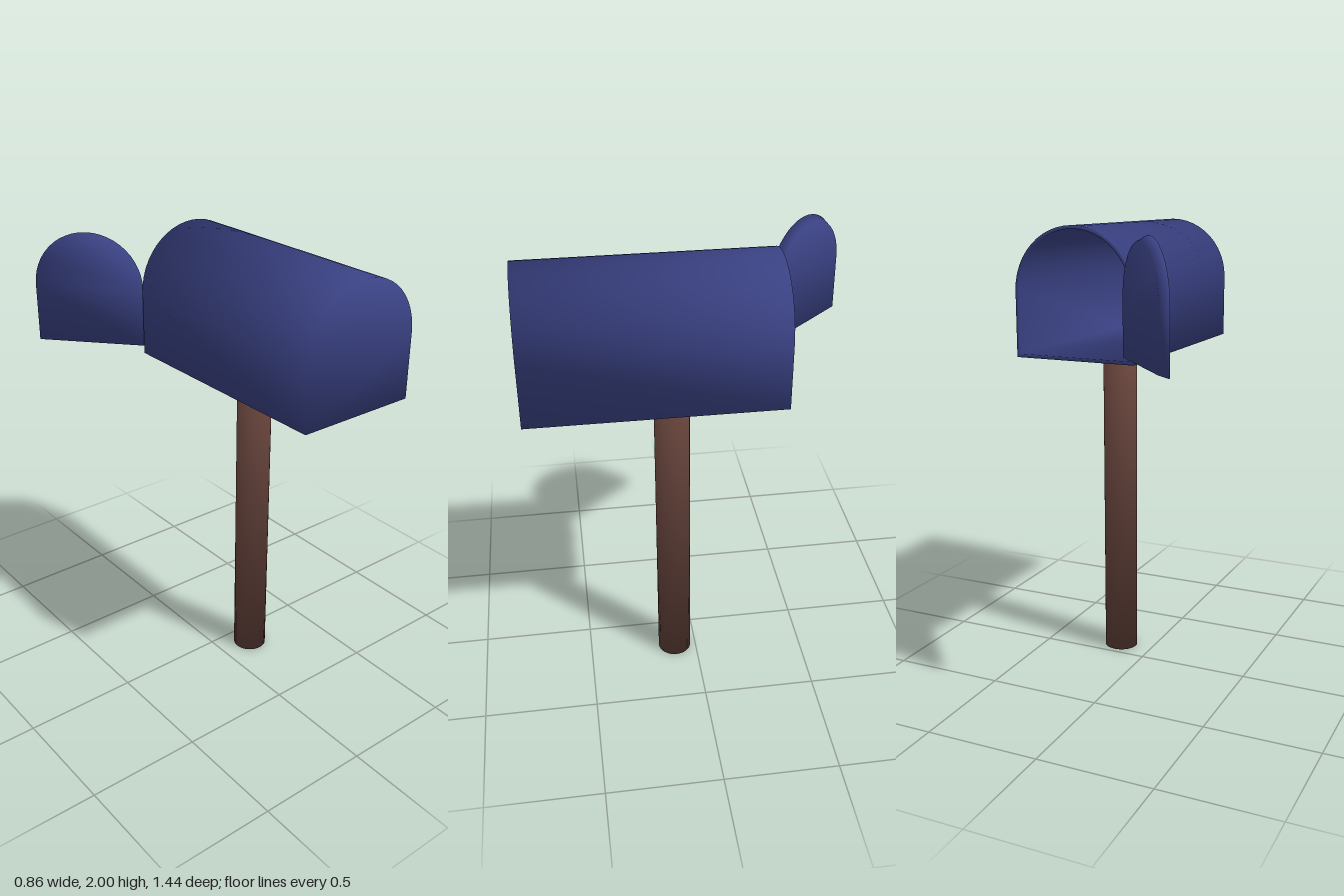
import * as THREE from 'three';

// Arched outline, counter-clockwise: half circle of radius r on straight sides reaching down to -h
function arch(r, h, segments = 24) {
  const pts = [];
  for (let i = 0; i <= segments; i++) {
    const a = (i / segments) * Math.PI;
    pts.push(new THREE.Vector2(Math.cos(a) * r, Math.sin(a) * r));
  }
  pts.push(new THREE.Vector2(-r, -h), new THREE.Vector2(r, -h));
  return pts;
}

function circle(r, n = 32) {
  return Array.from({ length: n }, (_, i) => {
    const a = (i / n) * Math.PI * 2;
    return new THREE.Vector2(Math.cos(a) * r, Math.sin(a) * r);
  });
}

// Joins outlines {pts, z} into one closed, softly shaded body with a cap on each end
function loft(rings) {
  const n = rings[0].pts.length;
  const verts = rings.flatMap(({ pts, z }) => pts.map(p => new THREE.Vector3(p.x, p.y, z)));
  const index = [];
  for (let k = 0; k < rings.length - 1; k++) {
    for (let i = 0; i < n; i++) {
      const a = k * n + i, b = k * n + (i + 1) % n;
      index.push(a, a + n, b, b, a + n, b + n);
    }
  }
  const last = (rings.length - 1) * n;
  for (const [a, b, c] of THREE.ShapeUtils.triangulateShape(rings[0].pts, [])) index.push(a, b, c);
  for (const [a, b, c] of THREE.ShapeUtils.triangulateShape(rings[rings.length - 1].pts, [])) {
    index.push(last + a, last + c, last + b);
  }

  // Shared normals weighted by corner angle
  const normals = verts.map(() => new THREE.Vector3());
  for (let t = 0; t < index.length; t += 3) {
    const tri = index.slice(t, t + 3);
    const [p, q, s] = tri.map(i => verts[i]);
    const face = q.clone().sub(p).cross(s.clone().sub(p)).normalize();
    tri.forEach((v, j) => {
      const e1 = verts[tri[(j + 1) % 3]].clone().sub(verts[v]);
      const e2 = verts[tri[(j + 2) % 3]].clone().sub(verts[v]);
      normals[v].addScaledVector(face, e1.angleTo(e2));
    });
  }
  normals.forEach(v => v.normalize());

  const geo = new THREE.BufferGeometry();
  geo.setAttribute('position', new THREE.Float32BufferAttribute(verts.flatMap(v => v.toArray()), 3));
  geo.setAttribute('normal', new THREE.Float32BufferAttribute(normals.flatMap(v => v.toArray()), 3));
  geo.setIndex(index);
  return geo;
}

export function createModel() {
  const blue = new THREE.MeshStandardMaterial({ color: 0x3a4284 });
  blue.name = 'bluePaint';
  const brown = new THREE.MeshStandardMaterial({ color: 0x64423a });
  brown.name = 'brownWood';

  const model = new THREE.Group();
  model.name = 'mailbox';
  const add = (name, geometry, material, x, y, z) => {
    const mesh = new THREE.Mesh(geometry, material);
    mesh.name = name;
    mesh.position.set(x, y, z);
    model.add(mesh);
    return mesh;
  };

  // Hollow box, closed at the front and open at the back
  const r = 0.273, wall = 0.015, front = 0.715, back = -0.34;
  const outer = arch(r, 0.28), inner = arch(r - wall, 0.28 - wall);
  add('boxShell', loft([
    { pts: outer, z: front },
    { pts: outer, z: back },
    { pts: inner, z: back },
    { pts: inner, z: front - wall },
  ]), blue, 0.157, 1.727, 0);

  // Door with a tapered edge, swung open on its side hinge
  const doorGeometry = loft([
    { pts: arch(0.223, 0.245), z: 0.037 },
    { pts: arch(0.2425, 0.257), z: 0 },
  ]);
  doorGeometry.translate(0.2425, 0, 0);
  add('door', doorGeometry, blue, -0.105, 1.732, -0.35).rotation.y = 2.305;

  // Round post
  const postGeometry = loft([{ pts: circle(0.076), z: 1.455 }, { pts: circle(0.076), z: 0 }]);
  postGeometry.rotateX(-Math.PI / 2);
  add('post', postGeometry, brown, 0.156, 0, 0.1);

  return model;
}
